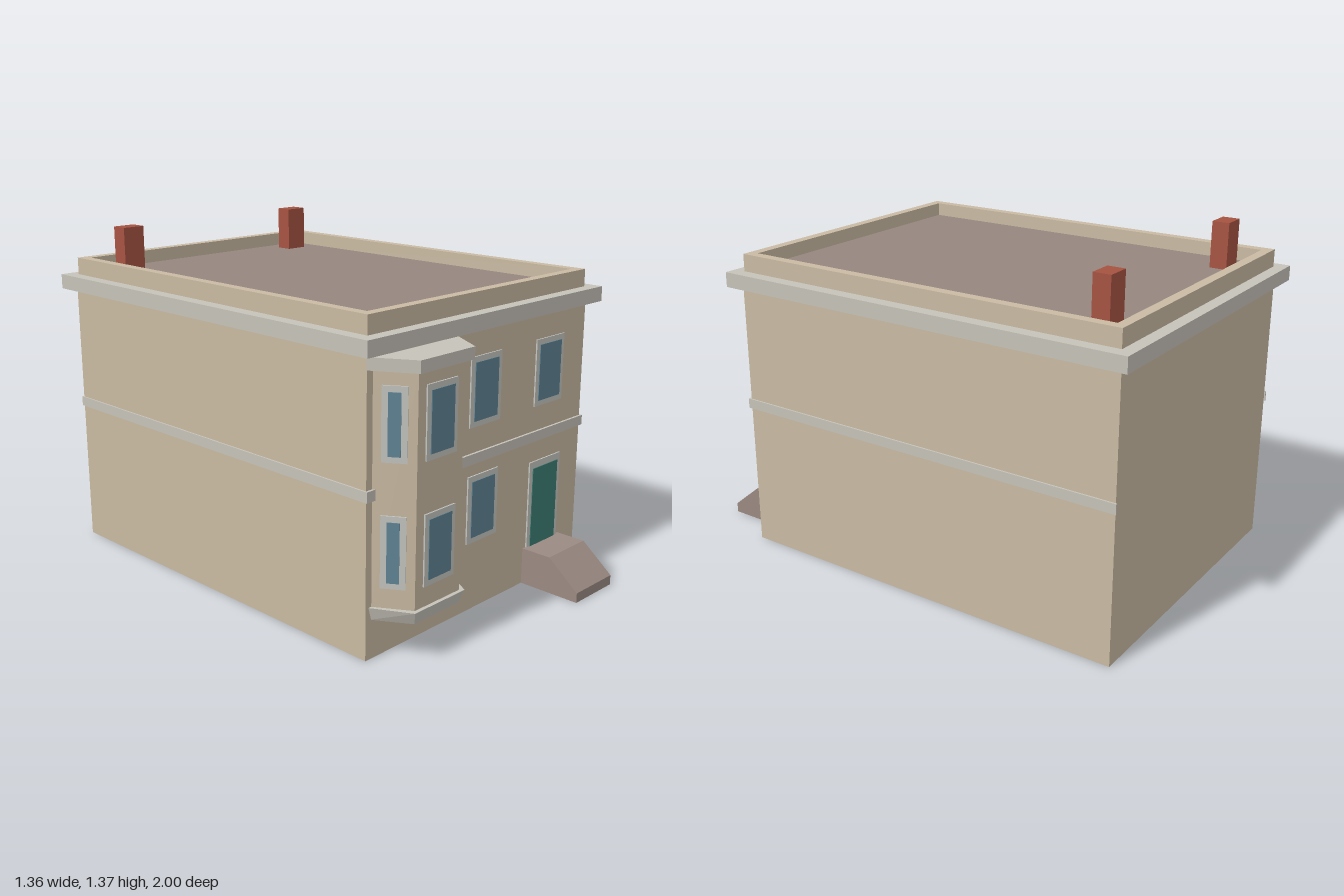
import * as THREE from 'three';

const mat = (name, color, side = THREE.FrontSide) => {
  const m = new THREE.MeshStandardMaterial({ color, side });
  m.name = name;
  return m;
};

// Closed prism between two outlines of [x, z] points (counter-clockwise from above)
function loft(lower, y0, upper, y1) {
  const pos = [], n = lower.length;
  const b = lower.map(([x, z]) => [x, y0, z]), t = upper.map(([x, z]) => [x, y1, z]);
  const tri = (p, q, r) => pos.push(...p, ...q, ...r);
  for (let i = 0; i < n; i++) {
    const j = (i + 1) % n;
    tri(b[i], b[j], t[j]);
    tri(b[i], t[j], t[i]);
  }
  for (let i = 1; i < n - 1; i++) {
    tri(t[0], t[i], t[i + 1]);
    tri(b[0], b[i + 1], b[i]);
  }
  const g = new THREE.BufferGeometry();
  g.setAttribute('position', new THREE.Float32BufferAttribute(pos, 3));
  g.computeVertexNormals();
  return g;
}

// Removes the faces lying on the ground, leaving a hollow shell
function openBottom(geometry) {
  const src = geometry.index ? geometry.toNonIndexed() : geometry;
  const p = src.attributes.position, pos = [];
  for (let i = 0; i < p.count; i += 3) {
    if (Math.max(p.getY(i), p.getY(i + 1), p.getY(i + 2)) < 1e-4) continue;
    for (let k = i; k < i + 3; k++) pos.push(p.getX(k), p.getY(k), p.getZ(k));
  }
  const g = new THREE.BufferGeometry();
  g.setAttribute('position', new THREE.Float32BufferAttribute(pos, 3));
  g.computeVertexNormals();
  return g;
}

const boxGeo = (x0, x1, y0, y1, z0, z1) =>
  new THREE.BoxGeometry(x1 - x0, y1 - y0, z1 - z0)
    .translate((x0 + x1) / 2, (y0 + y1) / 2, (z0 + z1) / 2);

export function createModel() {
  const house = new THREE.Group();
  house.name = 'townHouse';

  const wall = mat('stucco', 0xc9baa2);
  const shell = mat('stuccoShell', 0xc9baa2, THREE.DoubleSide);
  const trim = mat('stoneTrim', 0xc6c2b9);
  const frameMat = mat('windowFrame', 0xc4c4c0);
  const glass = mat('glass', 0x5f8495);
  const doorMat = mat('doorGreen', 0x3c7d73);
  const roofMat = mat('roofGrey', 0x96867e);
  const stepMat = mat('stepStone', 0x9a8a82, THREE.DoubleSide);
  const brick = mat('brick', 0xa65341);

  const add = (name, geometry, material, parent = house) => {
    const m = new THREE.Mesh(geometry, material);
    m.name = name;
    parent.add(m);
    return m;
  };

  // Main walls, hollow and open underneath
  const W = 0.635, ZF = 0.735, ZB = -0.955;
  add('walls', openBottom(boxGeo(-W, W, 0, 1.11, ZB, ZF)), shell);

  // Cornice, parapet and flat roof
  add('cornice', boxGeo(-0.68, 0.68, 1.11, 1.17, -1, 0.78), trim);
  const parapet = new THREE.Group();
  parapet.name = 'parapet';
  house.add(parapet);
  const P = 0.628, T = 0.04, PF = 0.73, PB = -0.95;
  for (const s of [-1, 1]) {
    const c = s * (P - T / 2);
    add('parapetSide', boxGeo(c - T / 2, c + T / 2, 1.17, 1.24, PB, PF), wall, parapet);
  }
  for (const z of [PB, PF - T])
    add('parapetEnd', boxGeo(-P + T, P - T, 1.17, 1.24, z, z + T), wall, parapet);
  add('roof', boxGeo(-P + T, P - T, 1.17, 1.185, PB + T, PF - T), roofMat);

  // Chimneys
  for (const s of [-1, 1])
    add('chimney', boxGeo(s * 0.464 - 0.049, s * 0.464 + 0.049, 1.185, 1.37, -0.84, -0.77), brick);

  // String course on the front and both sides
  add('stringCourseFront', boxGeo(-0.642, 0.642, 0.595, 0.635, ZF, 0.745), trim);
  for (const s of [-1, 1]) {
    const c = s * 0.6385;
    add('stringCourseSide', boxGeo(c - 0.0035, c + 0.0035, 0.595, 0.635, -0.96, ZF), trim);
  }

  // Bay with splayed sides, flared sill and small cornice
  const BX = -0.405;
  const bayOutline = (back, front, z) =>
    [[BX - back, ZF - 0.003], [BX - front, z], [BX + front, z], [BX + back, ZF - 0.003]];
  const body = bayOutline(0.203, 0.12, 0.865);
  const sillTop = bayOutline(0.217, 0.135, 0.88);
  const head = bayOutline(0.231, 0.14, 0.89);
  add('bayWalls', loft(body, 0.2, body, 1.055), wall);
  add('baySill', loft(body, 0.15, sillTop, 0.2), trim);
  add('bayCornice', loft(head, 1.055, head, 1.1), trim);

  // Windows: thin frame plate with a thin pane on it
  const addWindow = (x, y, z, w, paneW, turn = 0) => {
    const g = new THREE.Group();
    g.name = 'window';
    g.position.set(x, y, z);
    g.rotation.y = turn;
    add('windowFrame', boxGeo(-w / 2, w / 2, -0.134, 0.134, 0, 0.006), frameMat, g);
    add('windowPane', boxGeo(-paneW / 2, paneW / 2, -0.112, 0.112, 0.006, 0.009), glass, g);
    house.add(g);
  };
  const splay = Math.atan2(0.13, 0.083);
  for (const y of [0.411, 0.87]) {
    addWindow(0, y, ZF, 0.18, 0.137);
    addWindow(BX, y, 0.865, 0.16, 0.12);
    for (const s of [-1, 1])
      addWindow(BX + s * 0.1625, y, 0.8, 0.09, 0.045, s * splay);
  }
  addWindow(0.4, 0.87, ZF, 0.18, 0.14);

  // Front door
  add('doorFrame', boxGeo(0.298, 0.502, 0.15, 0.508, ZF, ZF + 0.006), frameMat);
  add('door', boxGeo(0.318, 0.482, 0.15, 0.48, ZF + 0.006, ZF + 0.009), doorMat);

  // Entrance ramp, hollow underneath
  const profile = new THREE.Shape([
    [ZF, 0], [1, 0], [1, 0.04], [0.865, 0.15], [ZF, 0.15],
  ].map(([z, y]) => new THREE.Vector2(z, y)));
  const ramp = new THREE.ExtrudeGeometry(profile, { depth: 0.24, bevelEnabled: false })
    .rotateY(-Math.PI / 2).translate(0.52, 0, 0);
  add('entranceRamp', openBottom(ramp), stepMat);

  return house;
}
